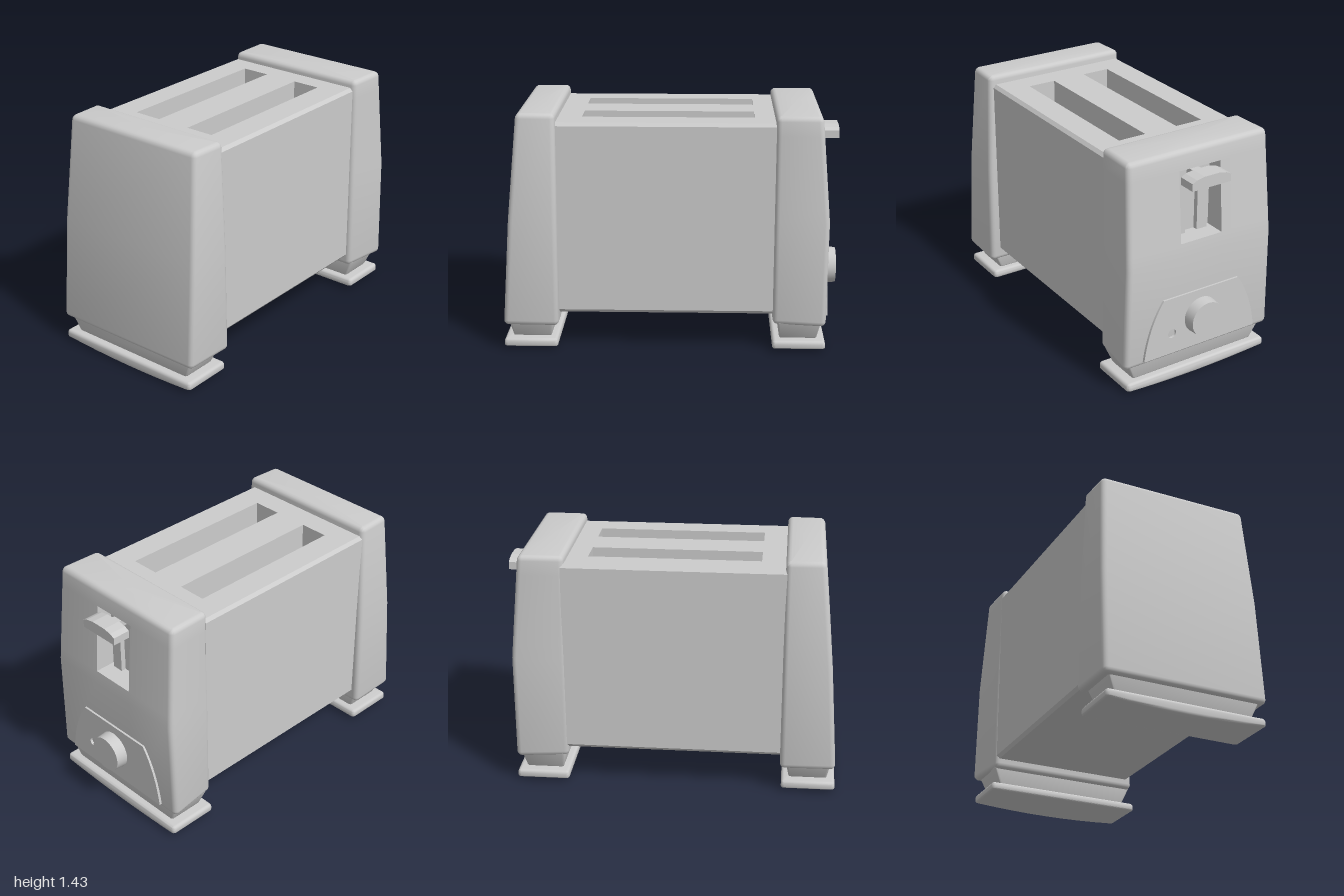
import * as THREE from 'three';
import { toCreasedNormals } from 'three/addons/utils/BufferGeometryUtils.js';

const grey = new THREE.MeshStandardMaterial({ color: 0xcccccc });

function add(parent, name, geometry, x = 0, y = 0, z = 0) {
  const mesh = new THREE.Mesh(geometry, grey);
  mesh.name = name;
  mesh.position.set(x, y, z);
  parent.add(mesh);
  return mesh;
}

// Rounded block from stacked sections; rows are [y, inner half width, outer half width, inner z, outer z].
// cols: extra x columns on the outer face; hole: { y0, y1, z } sinks a pocket between the two cols.
function loft(rows, r, cols = [], hole = null, warp = null) {
  const y0 = rows[0][0], y1 = rows[rows.length - 1][0], steps = 4;
  const levels = [];
  for (let i = 0; i <= steps; i++) {
    const a = (i / steps) * Math.PI / 2;
    const inset = r * (1 - Math.sin(a)), rise = r * (1 - Math.cos(a));
    levels.push([y0 + rise, inset], [y1 - rise, inset]);
  }
  rows.slice(1, -1).forEach(row => levels.push([row[0], 0]));
  if (hole) levels.push([hole.y0, 0], [hole.y1, 0]);
  levels.sort((a, b) => a[0] - b[0]);

  const at = y => {
    let i = 0;
    while (i < rows.length - 2 && y > rows[i + 1][0]) i++;
    const t = (y - rows[i][0]) / (rows[i + 1][0] - rows[i][0]);
    return rows[i].map((v, k) => v + (rows[i + 1][k] - v) * t);
  };
  const pos = [], idx = [];
  let n = 0;
  for (const [y, inset] of levels) {
    const [, wi, wo, zi, zo] = at(y), rad = Math.max(r - inset, 0.003);
    const ring = [];
    const arc = (cx, cz, from) => {
      for (let k = 0; k <= steps; k++) {
        const a = from + (k / steps) * Math.PI / 2;
        ring.push([cx + rad * Math.sin(a), cz + rad * Math.cos(a)]);
      }
    };
    const d = inset + rad;
    arc(-wo + d, zo - d, -Math.PI / 2);
    cols.forEach(x => ring.push([x, zo - inset]));
    arc(wo - d, zo - d, 0);
    arc(wi - d, zi + d, Math.PI / 2);
    arc(-wi + d, zi + d, Math.PI);
    n = ring.length;
    ring.forEach(([x, z]) => pos.push(x, y, z));
  }
  const quad = (a, b, c, d) => idx.push(a, b, c, a, c, d);
  for (let i = 0; i < levels.length - 1; i++) {
    for (let j = 0; j < n; j++) {
      const k = (j + 1) % n;
      const q = [i * n + j, i * n + k, (i + 1) * n + k, (i + 1) * n + j];
      if (hole && j === steps + 1 && levels[i][0] === hole.y0) {
        // pocket walls and floor
        const s = pos.length / 3;
        q.forEach(v => pos.push(pos[v * 3], pos[v * 3 + 1], hole.z));
        for (let e = 0; e < 4; e++) quad(q[e], q[(e + 1) % 4], s + (e + 1) % 4, s + e);
        quad(s, s + 1, s + 2, s + 3);
      } else quad(...q);
    }
  }
  // end faces
  const top = (levels.length - 1) * n, c = pos.length / 3;
  const midZ = (rows[0][3] + rows[0][4]) / 2;
  const last = rows[rows.length - 1];
  pos.push(0, y0, midZ, 0, y1, (last[3] + last[4]) / 2);
  for (let j = 0; j < n; j++) {
    const k = (j + 1) % n;
    idx.push(c, k, j, c + 1, top + j, top + k);
  }
  if (warp) {
    for (let i = 0; i < pos.length; i += 3) pos[i + 1] = warp(pos[i], pos[i + 1]);
  }
  const g = new THREE.BufferGeometry();
  g.setAttribute('position', new THREE.Float32BufferAttribute(pos, 3));
  g.setIndex(idx);
  return toCreasedNormals(g, 0.6);
}

// Foot under an end cap: tapered neck and a base plate with a sagging underside
function addFoot(parent, zi, zo) {
  add(parent, 'footNeck', loft([[0.06, 0.42, 0.42, zi + 0.045, zo - 0.05], [0.19, 0.475, 0.475, zi + 0.025, zo - 0.025]], 0.015));
  const sag = (x, y) => y + 0.02 * Math.min(1, (x / 0.48) ** 2) * Math.max(0, 1 - y / 0.04);
  const cols = [-0.36, -0.24, -0.12, 0, 0.12, 0.24, 0.36];
  add(parent, 'footPlate', loft([[0, 0.49, 0.49, zi, zo], [0.07, 0.49, 0.49, zi, zo]], 0.02, cols, null, sag));
}

function polygon(points) {
  return new THREE.Shape(points.map(p => new THREE.Vector2(...p)));
}

export function createModel() {
  const model = new THREE.Group();
  model.name = 'toaster';

  // Body with two bread slots
  const body = new THREE.Group();
  body.name = 'body';
  body.position.x = -0.01;
  model.add(body);
  const z0 = -0.62, z1 = 0.7, w = 0.44;
  const deck = polygon([[-w, -z1], [w, -z1], [w, -z0], [-w, -z0]]);
  for (const x of [-0.198, 0.193]) {
    const [a, b] = [x - 0.088, x + 0.088];
    deck.holes.push(polygon([[a, -0.53], [a, 0.48], [b, 0.48], [b, -0.53]]));
  }
  const core = new THREE.ExtrudeGeometry(deck, { depth: 1.12, bevelEnabled: false });
  core.rotateX(-Math.PI / 2);
  add(body, 'slottedCore', core, 0, 0.26, 0);
  add(body, 'bottomPlate', new THREE.BoxGeometry(2 * w, 0.04, z1 - z0), 0, 0.245, (z0 + z1) / 2);
  for (const s of [-1, 1]) {
    const profile = polygon([[w, 0.225], [0.457, 0.245], [0.457, 1.36], [w, 1.38]].map(([x, y]) => [s * x, y]));
    add(body, 'sidePanel', new THREE.ExtrudeGeometry(profile, { depth: z1 - z0, bevelEnabled: false }), 0, 0, z0);
  }

  // Plain front end
  const front = new THREE.Group();
  front.name = 'frontEnd';
  model.add(front);
  add(front, 'frontCap', loft([
    [0.16, 0.512, 0.505, 0.67, 1.0],
    [0.8, 0.5, 0.495, 0.67, 0.957],
    [1.435, 0.472, 0.465, 0.67, 0.897],
  ], 0.03));
  addFoot(front, 0.68, 1.0);

  // Back end with the controls, built facing +z and turned round
  const back = new THREE.Group();
  back.name = 'controlEnd';
  back.rotation.y = Math.PI;
  model.add(back);
  add(back, 'backCap', loft([
    [0.168, 0.475, 0.508, 0.6, 0.913],
    [0.8, 0.472, 0.495, 0.6, 0.92],
    [1.425, 0.465, 0.47, 0.6, 0.868],
  ], 0.03, [-0.14, 0.14], { y0: 0.88, y1: 1.31, z: 0.78 }));
  addFoot(back, 0.6, 0.915);

  // Lever with its stem and guide rails
  for (const s of [-1, 1]) {
    add(back, 'leverGuide', new THREE.BoxGeometry(0.07, 0.43, 0.04), s * 0.075, 1.095, 0.79);
  }
  add(back, 'leverStem', new THREE.BoxGeometry(0.06, 0.04, 0.14), 0, 1.26, 0.84);
  const grip = polygon([[-0.13, 1.23], [0.13, 1.23], [0.13, 1.275], [0.1, 1.29], [0.05, 1.3], [-0.05, 1.3], [-0.1, 1.29], [-0.13, 1.275]]);
  add(back, 'leverGrip', new THREE.ExtrudeGeometry(grip, { depth: 0.108, bevelEnabled: false }), 0, 0, 0.882);

  // Control panel with bowed sides and a small round opening
  const panel = new THREE.Shape();
  panel.moveTo(-0.39, 0.2);
  panel.lineTo(0.39, 0.2);
  panel.quadraticCurveTo(0.36, 0.42, 0.26, 0.56);
  panel.lineTo(-0.26, 0.56);
  panel.quadraticCurveTo(-0.36, 0.42, -0.39, 0.2);
  const opening = new THREE.Path();
  opening.absarc(-0.2, 0.33, 0.028, 0, Math.PI * 2, true);
  panel.holes.push(opening);
  add(back, 'controlPanel', toCreasedNormals(
    new THREE.ExtrudeGeometry(panel, { depth: 0.04, bevelEnabled: false, curveSegments: 16 }), 0.6), 0, 0, 0.89);

  // Browning knob
  const knob = new THREE.CylinderGeometry(0.108, 0.115, 0.09, 40);
  knob.rotateX(Math.PI / 2);
  add(back, 'knob', knob, 0, 0.395, 0.955);

  return model;
}
